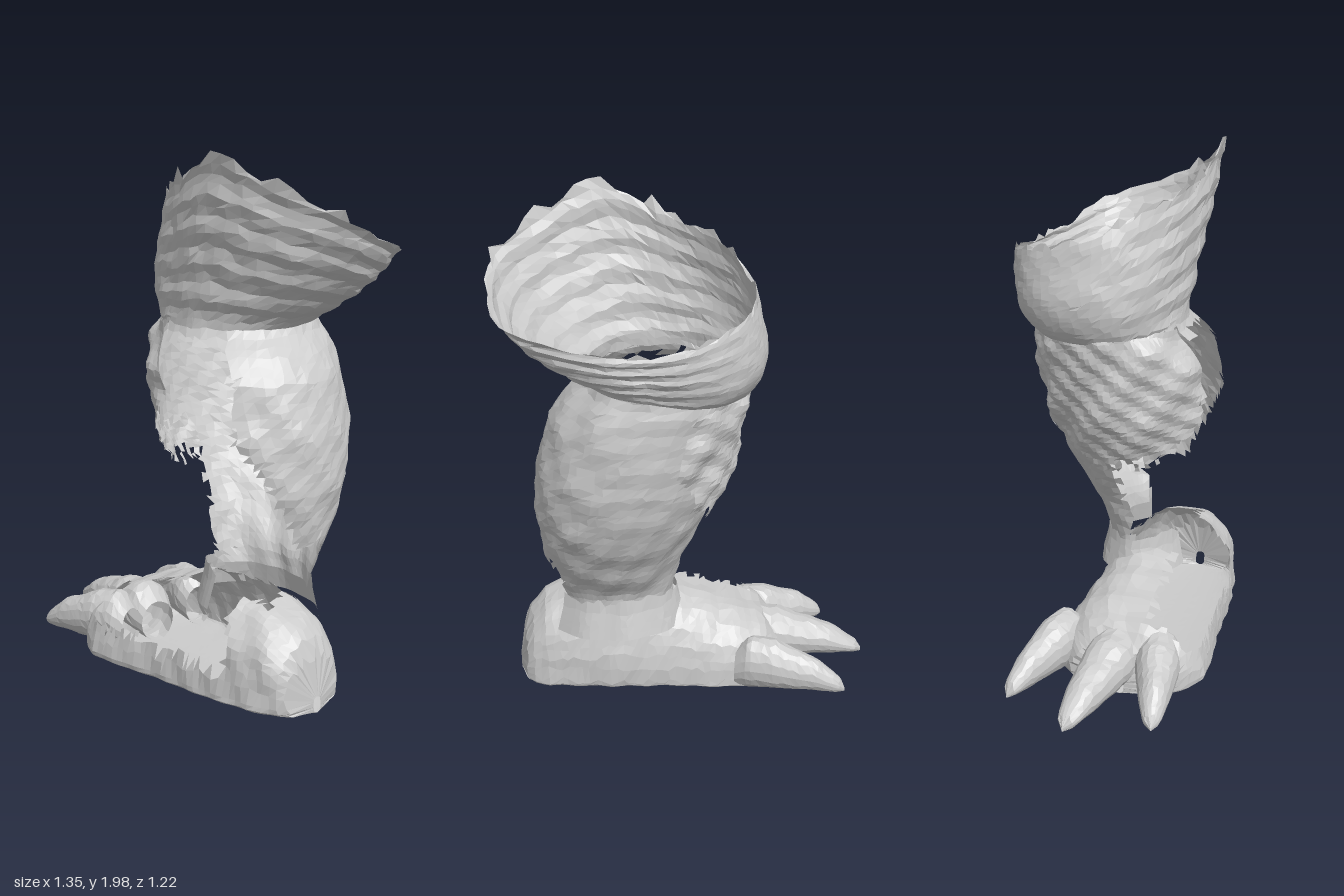
import * as THREE from 'three';

const material = new THREE.MeshStandardMaterial({ color: 0xcccccc, flatShading: true, side: THREE.DoubleSide });
const { sin, cos, PI, max, abs, sign, pow } = Math;
const lerp = THREE.MathUtils.lerp;

// Smooth lumpiness, and a seeded hash for torn edges
const lump = (x, y, z) => sin(31 * x + 23 * y) * sin(27 * z + 9 * x) + 0.6 * sin(43 * y + 37 * z) * sin(35 * x - 19 * y);
const hash = (i, j = 0) => {
  const n = sin(i * 127.1 + j * 311.7) * 43758.5453;
  return n - Math.floor(n);
};

// Linear interpolation in a table whose first column is the key, ascending
function sample(table, key) {
  let i = 0;
  while (i < table.length - 2 && key > table[i + 1][0]) i++;
  const a = table[i], b = table[i + 1];
  const t = THREE.MathUtils.clamp((key - a[0]) / (b[0] - a[0]), 0, 1);
  return a.map((value, k) => lerp(value, b[k], t));
}

// Sheet of nu x nv irregular cells; keep(u, v, jitter) decides which triangles survive
function sheet(name, nu, nv, point, keep = () => true) {
  const positions = [], index = [];
  for (let j = 0; j <= nv; j++)
    for (let i = 0; i <= nu; i++) {
      const shift = i > 0 && i < nu && j > 0 && j < nv ? 0.55 : 0;
      const du = shift * (hash(i, j + 7) - 0.5), dv = shift * (hash(i + 5, j) - 0.5);
      positions.push(...point((i + du) / nu, (j + dv) / nv));
    }
  for (let j = 0; j < nv; j++)
    for (let i = 0; i < nu; i++) {
      const a = j * (nu + 1) + i, b = a + 1, c = a + nu + 1, d = c + 1;
      const r = hash(i, j) - 0.5;
      if (keep((i + 0.33) / nu, (j + 0.33) / nv, r)) index.push(a, c, b);
      if (keep((i + 0.67) / nu, (j + 0.67) / nv, r)) index.push(b, c, d);
    }
  const geometry = new THREE.BufferGeometry();
  geometry.setAttribute('position', new THREE.Float32BufferAttribute(positions, 3));
  geometry.setIndex(index);
  geometry.computeVertexNormals();
  const mesh = new THREE.Mesh(geometry, material);
  mesh.name = name;
  return mesh;
}

// Calf rings: y, centre x, centre z, radius towards the toes, radius sideways
const calfRings = [
  [0.39, 0.175, 0.205, 0.23, 0.14], [0.46, 0.175, 0.2, 0.23, 0.15], [0.6, 0.19, 0.195, 0.265, 0.22],
  [0.8, 0.18, 0.165, 0.325, 0.305], [1.0, 0.155, 0.13, 0.355, 0.345], [1.2, 0.125, 0.085, 0.35, 0.34],
  [1.29, 0.11, 0.04, 0.325, 0.32], [1.35, 0.1, 0, 0.285, 0.285], [1.42, 0.1, 0, 0.28, 0.28],
];

function calfPoint(degrees, y, extra, rough) {
  const [, cx, cz, rf, rs] = sample(calfRings, y);
  const a = degrees * PI / 180, b = a + 2.34;
  const r = rf * rs / Math.hypot(rs * cos(b), rf * sin(b));
  const x = cx + r * cos(a), z = cz + r * sin(a);
  const k = extra + rough * lump(x, y, z);
  return [x + k * cos(a), y, z + k * sin(a)];
}

// Torn shell round the calf, open on one side and behind the shin
function calf() {
  const degrees = (u) => lerp(-190, 170, u), height = (v) => lerp(0.39, 1.42, v);
  return sheet('calf', 56, 36,
    (u, v) => calfPoint(degrees(u), height(v), 0, 0.006),
    (u, v, r) => {
      const a = degrees(u) + r * 8, y = height(v) + r * 0.05;
      if (y > 1.32) return true;
      if (a < -135) return y > 0.95;
      if (a < 22) return true;
      const edge = y > 0.95 ? 98 : lerp(62, 95, (y - 0.6) / 0.35);
      return a < edge && y > 0.59;
    });
}

// Shaggy layer hanging below the knee
function shag() {
  const degrees = (u) => lerp(-205, -65, u), height = (v) => lerp(0.78, 1.36, v);
  return sheet('shinShag', 40, 28,
    (u, v) => calfPoint(degrees(u), height(v), 0.008 + 0.022 * sin(PI * v) * sin(PI * u), 0.016),
    (u, v, r) => v + r * 0.12 > 0.05 + 0.5 * pow(abs(2 * u - 1), 2.5));
}

// Flaring thigh: circular neck below, slanted torn rim above, kneecap at the toe side
function thigh() {
  const rim = new THREE.CatmullRomCurve3([
    [0.55, 1.59, 0], [0.66, 1.65, 0.26], [0.49, 1.79, 0.5], [0.22, 1.9, 0.5],
    [0, 1.99, 0.39], [-0.13, 1.89, 0.2], [-0.165, 1.83, 0], [-0.15, 1.76, -0.15],
    [-0.04, 1.69, -0.29], [0.1, 1.66, -0.35], [0.3, 1.61, -0.3], [0.44, 1.58, -0.16],
  ].map((p) => new THREE.Vector3(...p)), true);
  const n = 60;
  return sheet('thigh', n, 18, (u, v) => {
    const a = u * 2 * PI, top = rim.getPoint(u % 1);
    const torn = v === 1 ? 0.14 * (hash(Math.round(u * n) % n) - 0.65) : 0;
    const t = v + torn, knee = max(0, cos(a + 2.1)), heel = max(0, cos(a - 0.5));
    const out = 0.07 * knee * sin(PI * pow(v, 0.7)) + 0.045 * heel * sin(PI * v)
      + 0.006 * (1 - knee) * sin(v * 32 + 2 * sin(a));
    const x = lerp(0.1 + 0.28 * cos(a), top.x, t) + out * cos(a);
    const z = lerp(0.28 * sin(a), top.z, t) + out * sin(a);
    const y = lerp(1.36, top.y, t) - 0.05 * knee * (1 - v);
    const k = 0.004 * lump(x, y, z);
    return [x + k * cos(a), y, z + k * sin(a)];
  });
}

// Foot sections along the heel-to-toe axis: distance, half width, top height
const footSections = [
  [-0.15, 0.02, 0.08], [-0.14, 0.11, 0.17], [-0.11, 0.155, 0.27], [-0.04, 0.19, 0.35],
  [0.06, 0.21, 0.39], [0.2, 0.235, 0.43], [0.32, 0.245, 0.43], [0.45, 0.255, 0.39],
  [0.6, 0.28, 0.34], [0.75, 0.29, 0.29], [0.84, 0.25, 0.24], [0.89, 0.19, 0.17], [0.91, 0.03, 0.08],
];

// Foot body with flat sole, open ankle and torn outer side
function foot() {
  const along = (v) => lerp(-0.15, 0.91, v);
  return sheet('foot', 48, 40, (u, v) => {
    const [t, w, h] = sample(footSections, along(v));
    const a = u * 2 * PI, c = cos(a), s = sin(a);
    const side = w * sign(c) * pow(abs(c), s > 0 ? 0.82 : 1);
    const x = 0.28 - 0.72 * t - 0.69 * side, z = 0.435 - 0.69 * t + 0.72 * side;
    const y = s > 0 ? 0.06 + (h - 0.06) * pow(s, 0.82) : 0.06 - 0.045 * pow(-s, 0.45);
    const k = 0.006 * lump(x, y, z);
    return [x - 0.69 * k * c, y + (s > 0 ? k * s : 0), z + 0.72 * k * c];
  }, (u, v, r) => {
    const t = along(v) + r * 0.06, a = u * 2 + r * 0.05;
    if (a > 1) return true;
    const ankle = t > 0.06 && t < 0.42 && a > 0.42 && a < 0.74;
    const sideTear = t > 0.13 && t < 0.8 && a > lerp(0.03, 0.15, t) && a < 0.44;
    return !ankle && !sideTear;
  });
}

// Upright torn collar where the foot meets the ankle
function collar() {
  return sheet('ankleCollar', 30, 5, (u, v) => {
    const torn = v === 1 ? 0.04 * hash(Math.round(u * 30)) : 0;
    const [x, , z] = calfPoint(lerp(-195, 25, u), 0.4, lerp(0.045, 0.012, v), 0.005);
    return [x, lerp(0.29, 0.42, v) + torn, z];
  });
}

// Toe profile: distance, half width, top height
const toeProfile = [
  [0, 0.075, 0.19], [0.12, 0.1, 0.25], [0.35, 0.1, 0.24], [0.5, 0.088, 0.21],
  [0.75, 0.065, 0.165], [0.92, 0.042, 0.105], [0.98, 0.026, 0.08], [1, 0.002, 0.055],
];

// Tapering, drooping toe from root to tip
function toe(name, root, tip, width) {
  const dx = tip[0] - root[0], dz = tip[1] - root[1], length = Math.hypot(dx, dz);
  const fx = dx / length, fz = dz / length;
  return sheet(name, 16, 20, (u, v) => {
    const [t, w, top] = sample(toeProfile, v);
    const a = u * 2 * PI, bottom = 0.025 + 0.012 * t;
    const side = width * w * cos(a);
    const y = (top + bottom) / 2 + (top - bottom) / 2 * sin(a);
    const x = root[0] + dx * t - fz * side, z = root[1] + dz * t + fx * side;
    return [x, y + 0.004 * lump(x, y, z) * sin(a), z];
  });
}

export function createModel() {
  const group = new THREE.Group();
  group.name = 'clawedLeg';
  group.add(
    thigh(), calf(), shag(), collar(), foot(),
    toe('innerToe', [-0.06, -0.22], [-0.27, -0.6], 0.8),
    toe('middleToe', [-0.22, -0.06], [-0.55, -0.49], 1),
    toe('outerToe', [-0.32, 0.01], [-0.68, -0.2], 0.85),
  );
  return group;
}
